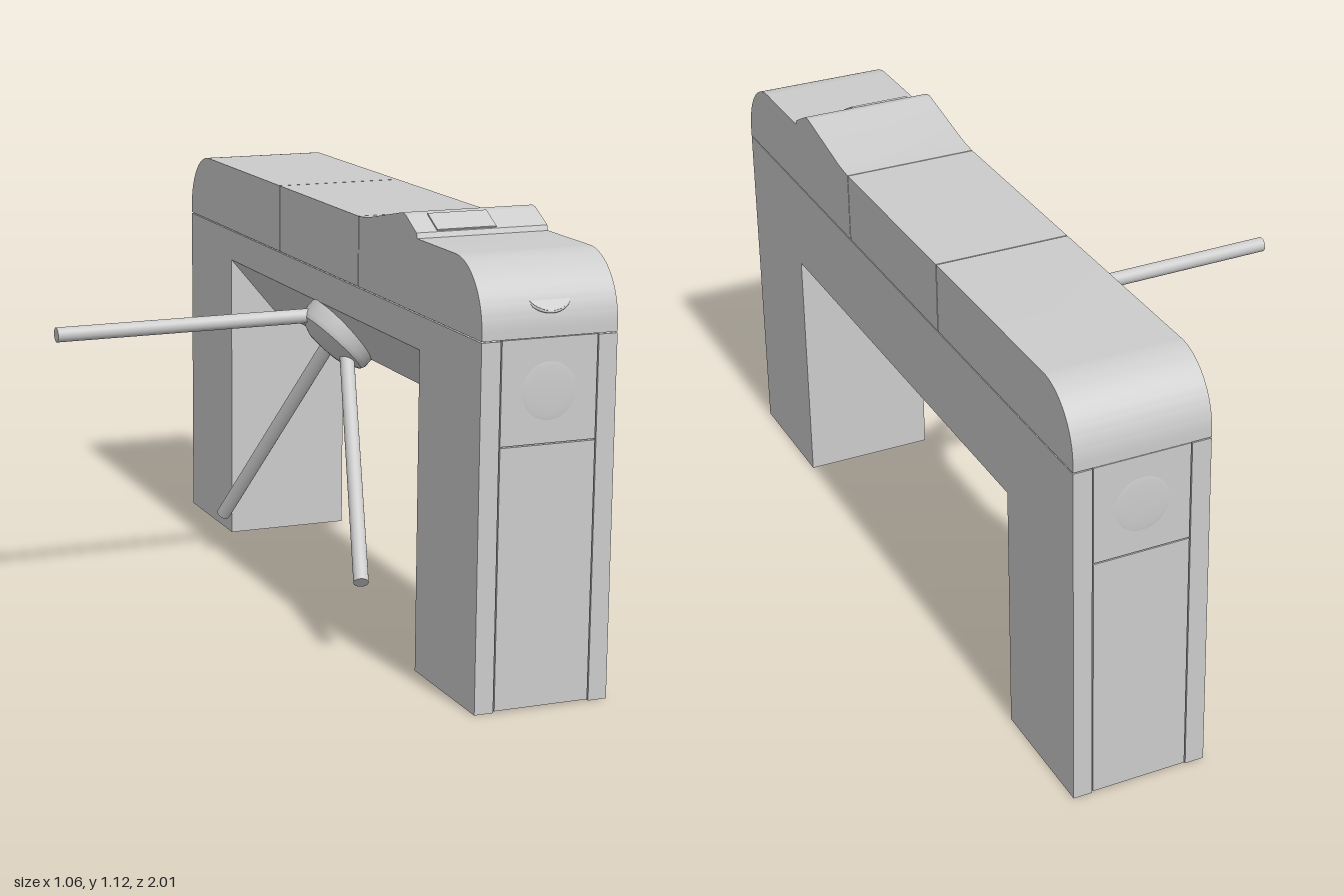
import * as THREE from 'three';
import { toCreasedNormals } from 'three/addons/utils/BufferGeometryUtils.js';

const X0 = 0.18, X1 = 0.525, GAP = 0.003;
const SEAM = 0.89, TOP = 1.07, BEAM = 0.65;

export function createModel() {
  const model = new THREE.Group();
  model.name = 'turnstile';
  const mat = new THREE.MeshStandardMaterial({ color: 0xcccccc });

  const add = (name, geo, parent = model) => {
    const mesh = new THREE.Mesh(geo, mat);
    mesh.name = name;
    parent.add(mesh);
    return mesh;
  };
  // Box given by its limits on each axis
  const box = (name, [xa, xb], [ya, yb], [za, zb], parent) => {
    const geo = new THREE.BoxGeometry(xb - xa, yb - ya, Math.abs(zb - za));
    geo.translate((xa + xb) / 2, (ya + yb) / 2, (za + zb) / 2);
    return add(name, geo, parent);
  };
  // Side outline in (z, y), extruded across the body width
  const sideExtrude = (name, shape) => {
    const geo = new THREE.ExtrudeGeometry(shape, { depth: X1 - X0, bevelEnabled: false, curveSegments: 16 });
    geo.rotateY(-Math.PI / 2).translate(X1, 0, 0);
    return add(name, toCreasedNormals(geo, 0.3));
  };

  // Inner core, which backs the seams
  box('core', [X0 + 0.006, X1 - 0.006], [0.82, 1.06], [-0.85, 0.85]);

  // Legs with corner strips, access panels and a shallow round sensor window
  for (const s of [1, -1]) {
    const leg = new THREE.Group();
    leg.name = s > 0 ? 'frontLeg' : 'rearLeg';
    model.add(leg);
    const face = [s * 0.99, s];
    box('post', [X0, X1], [0, SEAM - GAP / 2], [s * 0.657, s * 0.99], leg);
    box('rightStrip', [X0, 0.2285], [0, SEAM - GAP / 2], face, leg);
    box('leftStrip', [0.4775, X1], [0, SEAM - GAP / 2], face, leg);
    box('lowerPanel', [0.2315, 0.4745], [0.004, 0.6385], face, leg);
    box('upperPanel', [0.2315, 0.4745], [0.6415, SEAM], face, leg);
    const win = add('sensorWindow', new THREE.SphereGeometry(0.072, 32, 16), leg);
    win.scale.z = 0.05;
    win.position.set(0.353, 0.765, s * 0.999);
  }

  // Cross beam with its lower edge cut away behind the hub
  const beam = new THREE.Shape([
    [X0, SEAM - GAP / 2], [X0, 0.805], [0.31, BEAM], [X1, BEAM], [X1, SEAM - GAP / 2],
  ].map(([x, y]) => new THREE.Vector2(x, y)));
  const beamGeo = new THREE.ExtrudeGeometry(beam, { depth: 1.314, bevelEnabled: false });
  add('crossBeam', beamGeo.translate(0, 0, -0.657));

  // Top covers: rounded front with raised console, flat middle, rounded rear
  const bottom = SEAM + GAP / 2;
  const front = new THREE.Shape();
  front.moveTo(0.277, bottom);
  front.lineTo(1, bottom);
  front.lineTo(1, 0.91);
  front.absellipse(0.85, 0.91, 0.15, TOP - 0.91, 0, Math.PI / 2, false);
  for (const [z, y] of [[0.635, TOP], [0.63, 1.083], [0.565, 1.117], [0.545, 1.12], [0.33, 1.075], [0.277, TOP]]) {
    front.lineTo(z, y);
  }
  sideExtrude('frontCover', front);

  box('middleCover', [X0, X1], [bottom, TOP], [-0.274, 0.274]);

  const rear = new THREE.Shape();
  rear.moveTo(-1, bottom);
  rear.lineTo(-0.277, bottom);
  rear.lineTo(-0.277, TOP);
  rear.lineTo(-0.85, TOP);
  rear.absellipse(-0.85, 0.91, 0.15, TOP - 0.91, Math.PI / 2, Math.PI, false);
  sideExtrude('rearCover', rear);

  // Display plate on the console slope
  const display = add('display', new THREE.BoxGeometry(0.155, 0.008, 0.066));
  display.position.set(0.3125, 1.1, 0.598);
  display.rotation.x = Math.atan2(0.034, 0.065);

  // Plain round reader set into the front curve
  const reader = new THREE.Group();
  reader.name = 'reader';
  reader.position.set(0.355, 0.996, 0.963);
  reader.rotation.x = THREE.MathUtils.degToRad(50);
  model.add(reader);
  add('readerDisc', new THREE.CylinderGeometry(0.06, 0.06, 0.01, 40), reader);
  add('readerRim', new THREE.TorusGeometry(0.06, 0.004, 8, 40).rotateX(Math.PI / 2), reader);

  // Hub facing down and outward at 45 degrees
  const hubProfile = [[0.11, -0.07], [0.11, 0], [0.104, 0.012], [0.06, 0.032], [0, 0.038]]
    .map(([r, y]) => new THREE.Vector2(r, y));
  const hub = add('hub', toCreasedNormals(new THREE.LatheGeometry(hubProfile, 40), 0.5));
  hub.position.set(0.228, 0.7, 0);
  hub.rotation.z = THREE.MathUtils.degToRad(135);

  // Three tripod arms, one of them level across the passage
  const up = new THREE.Vector3(0, 1, 0);
  const arms = [
    [[0.22, 0.765, -0.012], [-0.53, 0.765, 0]],
    [[0.25, 0.69, 0.03], [0.08, 0.205, 0.55]],
    [[0.25, 0.7, -0.05], [0.085, 0.115, -0.466]],
  ];
  arms.forEach(([a, b], i) => {
    const from = new THREE.Vector3(...a), to = new THREE.Vector3(...b);
    const dir = to.clone().sub(from);
    const arm = add('arm' + (i + 1), new THREE.CylinderGeometry(0.019, 0.019, dir.length(), 24));
    arm.position.copy(from).add(to).multiplyScalar(0.5);
    arm.quaternion.setFromUnitVectors(up, dir.normalize());
  });

  return model;
}
